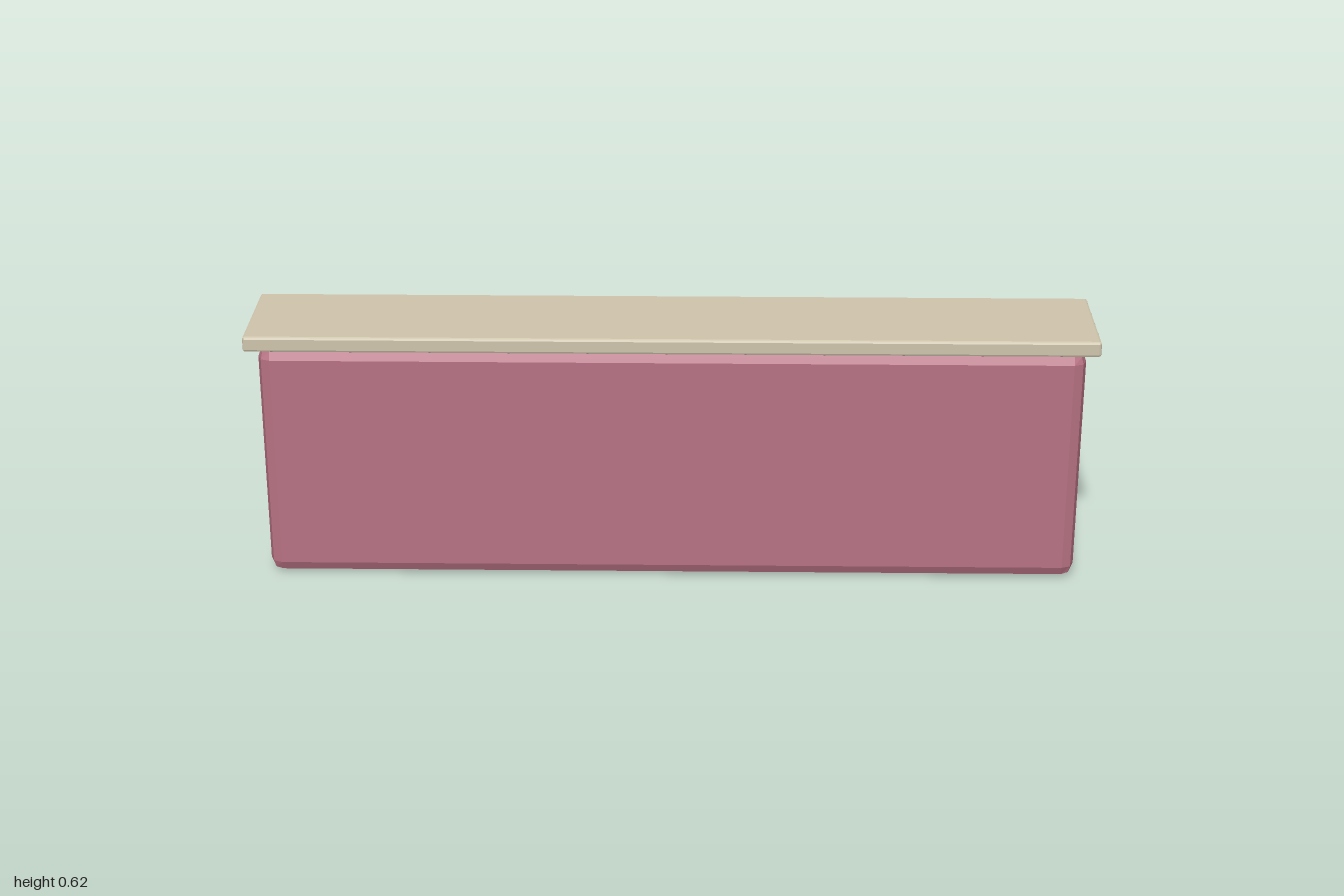
import * as THREE from 'three';
import { RoundedBoxGeometry } from 'three/addons/geometries/RoundedBoxGeometry.js';

export function createModel() {
  const model = new THREE.Group();
  model.name = 'cappedWall';

  const rose = new THREE.MeshStandardMaterial({ color: 0xb97384, flatShading: true });
  rose.name = 'rose';
  const sand = new THREE.MeshStandardMaterial({ color: 0xd0c6ae, flatShading: true });
  sand.name = 'sand';

  // Slab with two-facet bevelled edges, standing on height y
  function slab(name, material, width, height, depth, bevel, y) {
    const mesh = new THREE.Mesh(new RoundedBoxGeometry(width, height, depth, 1, bevel), material);
    mesh.name = name;
    mesh.position.y = y + height / 2;
    model.add(mesh);
  }

  // Tall bevelled body
  slab('body', rose, 1.946, 0.587, 0.244, 0.03, 0);
  // Thin overhanging cap
  slab('cap', sand, 2, 0.038, 0.291, 0.006, 0.587);

  return model;
}
